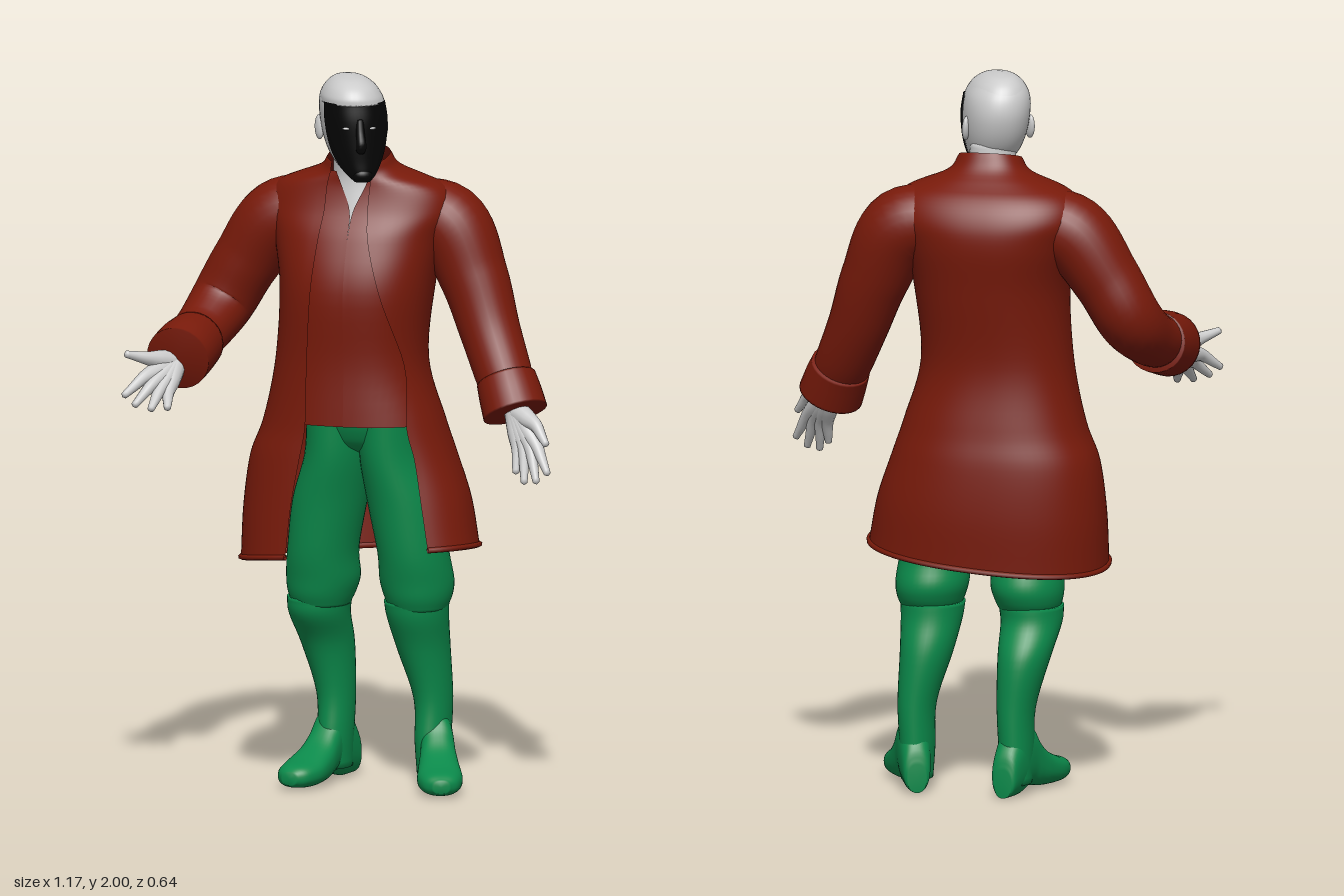
import * as THREE from 'three';
import { mergeVertices } from 'three/addons/utils/BufferGeometryUtils.js';

const mat = (color) => new THREE.MeshStandardMaterial({ color, side: THREE.DoubleSide });
const skin = mat(0xcccccc), red = mat(0x781a0a), green = mat(0x0b8a4b), black = mat(0x050505);

// Smooth interpolation through equal-length rows of numbers
function smoothRows(rows) {
  const f = new THREE.CubicInterpolant(rows.map((_, i) => i), rows.flat(), rows[0].length);
  return (t) => [...f.evaluate(t)];
}

// Stack of rounded rings, rows rising in y: [y, centreX, halfWidth, zFront, zBack, edgeRight, edgeLeft]
// part 'back' leaves the front open between the edges, 'front' keeps only that strip
function loft(rows, { part = 'closed', power = 1, seg = 40, sub = 5 } = {}) {
  const at = smoothRows(rows), n = (rows.length - 1) * sub, pos = [], idx = [];
  const closed = part === 'closed', cols = closed ? seg : seg + 1;
  const pw = (v, p) => Math.sign(v) * Math.abs(v) ** p;
  for (let i = 0; i <= n; i++) {
    const [y, cx, rx, zf, zb, xR, xL] = at(i / sub);
    const angle = (x) => Math.asin(pw(THREE.MathUtils.clamp((x - cx) / rx, -1, 1), 1 / power));
    let t0 = 0, t1 = Math.PI * 2;
    if (part === 'back') { t0 = angle(xL); t1 += angle(xR); }
    if (part === 'front') { t0 = angle(xR); t1 = angle(xL); }
    for (let j = 0; j < cols; j++) {
      const t = t0 + (t1 - t0) * j / seg;
      pos.push(cx + rx * pw(Math.sin(t), power), y, (zf + zb) / 2 + (zf - zb) / 2 * pw(Math.cos(t), power));
    }
  }
  for (let i = 0; i < n; i++) for (let j = 0; j < seg; j++) {
    const k = (j + 1) % cols, a = i * cols + j, b = i * cols + k;
    idx.push(a, b, b + cols, a, b + cols, a + cols);
  }
  if (closed) { // end caps
    for (const [r, row] of [[0, rows[0]], [n, rows.at(-1)]]) {
      const c = pos.length / 3;
      pos.push(row[1], row[0], (row[3] + row[4]) / 2);
      for (let j = 0; j < seg; j++) {
        const a = r * cols + j, b = r * cols + (j + 1) % cols;
        idx.push(c, r ? a : b, r ? b : a);
      }
    }
  }
  const g = new THREE.BufferGeometry();
  g.setAttribute('position', new THREE.Float32BufferAttribute(pos, 3));
  g.setIndex(idx);
  g.computeVertexNormals();
  return g;
}

// Tube of changing radius with closed ends, points are [x, y, z, radius]
function limb(points, seg = 20) {
  const curve = new THREE.CatmullRomCurve3(points.map((p) => new THREE.Vector3(...p)));
  const radius = smoothRows(points.map((p) => [p[3]]));
  const n = points.length * 6;
  const g = new THREE.TubeGeometry(curve, n, 1, seg);
  const pos = g.attributes.position, v = new THREE.Vector3();
  for (let i = 0; i <= n; i++) {
    const c = curve.getPointAt(i / n);
    const r = i === 0 || i === n ? 0 : radius(curve.getUtoTmapping(i / n) * (points.length - 1))[0];
    for (let j = 0; j <= seg; j++) {
      const k = i * (seg + 1) + j;
      v.fromBufferAttribute(pos, k).sub(c).multiplyScalar(r).add(c);
      pos.setXYZ(k, v.x, v.y, v.z);
    }
  }
  g.deleteAttribute('uv');
  g.deleteAttribute('normal');
  const m = mergeVertices(g, 1e-5);
  m.computeVertexNormals();
  return m;
}

function add(parent, name, geometry, material) {
  const m = new THREE.Mesh(geometry, material);
  m.name = name;
  parent.add(m);
  return m;
}

const coatRows = [
  [0.66, -0.01, 0.335, 0.14, -0.305, -0.165, 0.235],
  [0.8, -0.022, 0.32, 0.118, -0.312, -0.155, 0.21],
  [0.93, -0.034, 0.29, 0.1, -0.305, -0.135, 0.185],
  [1.03, -0.03, 0.254, 0.09, -0.287, -0.12, 0.16],
  [1.2, -0.036, 0.212, 0.083, -0.268, -0.118, 0.145],
  [1.4, -0.024, 0.214, 0.09, -0.295, -0.106, 0.09],
  [1.54, -0.025, 0.24, 0.05, -0.317, -0.095, 0.05],
  [1.62, -0.022, 0.268, 0.008, -0.307, -0.088, 0.037],
  [1.685, -0.02, 0.235, -0.012, -0.265, -0.086, 0.037],
  [1.73, -0.017, 0.118, -0.013, -0.195, -0.079, 0.043],
  [1.77, -0.015, 0.086, -0.01, -0.165, -0.075, 0.05],
];

function buildCoat(root) {
  const coat = new THREE.Group();
  coat.name = 'coat';
  root.add(coat);
  const g = loft(coatRows, { part: 'back', power: 0.88, seg: 64, sub: 6 });
  const pos = g.attributes.position;
  // slanted hem, and a collar that is higher at the back
  for (let i = 0; i < pos.count; i++) {
    const x = pos.getX(i), y = pos.getY(i), z = pos.getZ(i);
    const hem = THREE.MathUtils.clamp((1.03 - y) / 0.37, 0, 1);
    const collar = THREE.MathUtils.clamp((y - 1.7) / 0.07, 0, 1);
    pos.setY(i, y + hem * (0.09 * x + 0.09 * (z + 0.08)) - collar * 0.25 * (z + 0.08));
  }
  g.computeVertexNormals();
  add(coat, 'coatBody', g, red);
  const hem = [];
  for (let j = 0; j <= 64; j += 2) hem.push(new THREE.Vector3().fromBufferAttribute(pos, j));
  add(coat, 'hemRim', new THREE.TubeGeometry(new THREE.CatmullRomCurve3(hem), 96, 0.008, 6), red);
  // waistcoat halves just behind the coat edges, parting in a V at the neck
  for (const side of [-1, 1]) {
    const half = coatRows.slice(3, 10).map(([y, cx, rx, zf, zb, xR, xL]) => {
      const inner = -0.012 + side * Math.max(0, (y - 1.61) * 0.42);
      return [y, cx, rx - 0.008, zf - 0.01, zb, side < 0 ? xR - 0.02 : inner, side < 0 ? inner : xL + 0.02];
    });
    add(coat, side < 0 ? 'rightWaistcoat' : 'leftWaistcoat', loft(half, { part: 'front', power: 0.88, seg: 10 }), red);
  }
  // sleeves and turned-back cuffs
  add(coat, 'rightSleeve', limb([[-0.12, 1.6, -0.15, 0.095], [-0.255, 1.575, -0.142, 0.107], [-0.355, 1.45, -0.14, 0.095],
    [-0.42, 1.335, -0.125, 0.09], [-0.448, 1.27, -0.03, 0.08], [-0.46, 1.24, 0.06, 0.075]], 28), red);
  add(coat, 'rightCuff', limb([[-0.455, 1.245, 0.02, 0.084], [-0.46, 1.23, 0.1, 0.09], [-0.465, 1.212, 0.17, 0.09]], 28), red);
  add(coat, 'leftSleeve', limb([[0.09, 1.6, -0.17, 0.095], [0.215, 1.575, -0.175, 0.109], [0.295, 1.43, -0.16, 0.096],
    [0.35, 1.29, -0.13, 0.085], [0.4, 1.18, -0.09, 0.08], [0.43, 1.12, -0.06, 0.075]], 28), red);
  add(coat, 'leftCuff', limb([[0.41, 1.165, -0.085, 0.083], [0.43, 1.12, -0.065, 0.088], [0.452, 1.067, -0.045, 0.091]], 28), red);
}

// Fingers run from the wrist, so their thick roots form the palm
function buildHand(root, name, wrist, knuckles, tips) {
  const hand = new THREE.Group();
  hand.name = name;
  root.add(hand);
  const w = new THREE.Vector3(...wrist);
  tips.forEach((tip, i) => {
    const k = new THREE.Vector3(...knuckles[i]), t = new THREE.Vector3(...tip);
    const palm = w.clone().lerp(k, 0.6), mid = k.clone().lerp(t, 0.55);
    add(hand, i === 4 ? 'thumb' : 'finger' + (i + 1), limb([[...w, 0.034], [...palm, 0.027],
      [...k, 0.0185], [...mid, 0.013], [...t, 0.009]], 12), skin);
  });
}

function buildLeg(root, side) {
  const left = side > 0, leg = new THREE.Group();
  leg.name = left ? 'leftLeg' : 'rightLeg';
  root.add(leg);
  add(leg, 'trouserLeg', loft([
    [0.5, 0.14, 0.08, -0.03, -0.21], [0.535, 0.139, 0.094, -0.015, -0.235], [0.58, 0.135, 0.102, -0.005, -0.245],
    [0.66, 0.13, 0.098, 0.012, -0.225], [0.8, 0.108, 0.102, 0.03, -0.23], [0.93, 0.08, 0.092, 0.05, -0.24],
    [1.05, 0.075, 0.085, 0.06, -0.22],
  ].map(([y, cx, ...r]) => [y, side * cx + 0.006, ...r])), green);
  // boot shaft: the ankle sits further out on the left
  const back = left ? 0 : -0.02, ankle = left ? 0.172 : 0.115;
  add(leg, 'bootShaft', loft([
    [0.03, ankle, 0.043, -0.11, -0.25], [0.12, ankle, 0.048, -0.1, -0.252], [0.24, ankle, 0.053, -0.105, -0.255],
    [0.38, left ? 0.15 : 0.133, 0.073, -0.07, -0.252], [0.47, 0.142, 0.085, -0.035, -0.23], [0.52, 0.14, 0.09, -0.025, -0.225],
  ].map(([y, cx, rx, zf, zb]) => [y, side * cx, rx, zf + back * (y < 0.4), zb + back * (y < 0.4)])), green);
  // foot: rings along its length, [along, x, halfWidth, -bottom, -top]
  const foot = add(leg, 'bootFoot', loft([
    [-0.085, 0, 0.026, 0, -0.08], [-0.07, 0, 0.038, 0, -0.13], [-0.01, 0, 0.045, 0, -0.2], [0.05, 0, 0.046, -0.014, -0.195],
    [0.085, 0, 0.05, -0.01, -0.15], [0.13, 0, 0.057, -0.003, -0.11], [0.2, 0, 0.063, 0, -0.08],
    [0.255, 0, 0.05, -0.004, -0.066], [0.283, 0, 0.022, -0.014, -0.05],
  ], { power: 0.85 }).rotateX(Math.PI / 2), green);
  foot.position.set(side * ankle + (left ? 0.008 : 0), 0, left ? -0.185 : -0.21);
  foot.rotation.y = left ? 0.34 : -0.2;
}

function buildHead(root) {
  add(root, 'neck', loft([[1.52, -0.02, 0.13, 0.01, -0.2], [1.62, -0.018, 0.1, -0.01, -0.18],
    [1.7, -0.018, 0.074, -0.025, -0.16], [1.75, -0.02, 0.066, -0.022, -0.155], [1.81, -0.022, 0.064, -0.015, -0.15]]), skin);
  const head = new THREE.Group();
  head.name = 'head';
  head.position.set(-0.023, 0, -0.055);
  head.rotation.y = 0.43;
  root.add(head);
  const rows = [
    [1.715, 0.012, 0.022, 0.112, 0.05], [1.735, 0.01, 0.042, 0.121, 0.0], [1.775, 0.006, 0.068, 0.122, -0.07],
    [1.825, 0.003, 0.084, 0.124, -0.108], [1.885, 0, 0.091, 0.125, -0.127], [1.935, -0.004, 0.088, 0.119, -0.122],
    [1.97, -0.008, 0.07, 0.098, -0.1], [1.99, -0.01, 0.044, 0.065, -0.07], [1.998, -0.01, 0.01, 0.015, -0.025],
  ];
  add(head, 'skull', loft(rows, { power: 0.92 }), skin);
  // hair stands out over the forehead only
  add(head, 'hair', loft([[1.93, -0.003, 0.088, 0.135, -0.12], [1.95, -0.006, 0.083, 0.132, -0.115],
    [1.975, -0.008, 0.067, 0.112, -0.098], [1.993, -0.01, 0.042, 0.075, -0.07], [2.0, -0.01, 0.01, 0.02, -0.025]],
  { power: 0.92 }), skin);
  // mask follows the front of the skull
  add(head, 'mask', loft(rows.slice(0, 6).map(([y, cx, rx, zf, zb]) =>
    [y, cx, rx + 0.005, zf + 0.011, zb, cx - rx * 0.97, cx + rx * 0.97]), { part: 'front', seg: 24, power: 0.92 }), black);
  add(head, 'nose', limb([[0.002, 1.895, 0.127, 0.01], [0.002, 1.855, 0.14, 0.012], [0.003, 1.822, 0.154, 0.014],
    [0.003, 1.806, 0.138, 0.013]], 14), black);
  const ball = new THREE.SphereGeometry(1, 20, 14);
  const blob = (name, material, at, size) => {
    const m = add(head, name, ball, material);
    m.position.set(...at);
    m.scale.set(...size);
    return m;
  };
  blob('chin', black, [0.011, 1.735, 0.118], [0.028, 0.02, 0.02]);
  for (const s of [-1, 1]) {
    blob('ear', skin, [s * 0.09, 1.85, -0.025], [0.011, 0.035, 0.02]).rotation.set(-0.2, s * -0.35, 0);
    blob('eyeSlit', skin, [s * 0.034, 1.868, 0.127], [0.013, 0.004, 0.005]);
  }
}

export function createModel() {
  const root = new THREE.Group();
  root.name = 'manInCoat';
  buildCoat(root);
  add(root, 'trouserSeat', loft([[0.94, 0.006, 0.08, -0.03, -0.19], [0.965, 0.006, 0.14, 0.02, -0.23],
    [1.0, 0.007, 0.16, 0.045, -0.245], [1.05, 0.006, 0.165, 0.06, -0.25], [1.12, 0, 0.15, 0.055, -0.23]]), green);
  for (const side of [-1, 1]) buildLeg(root, side);
  buildHand(root, 'rightHand', [-0.478, 1.2, 0.14],
    [[-0.534, 1.172, 0.25], [-0.513, 1.152, 0.25], [-0.492, 1.138, 0.243], [-0.472, 1.13, 0.23], [-0.535, 1.222, 0.225]],
    [[-0.578, 1.125, 0.316], [-0.545, 1.1, 0.322], [-0.5, 1.088, 0.31], [-0.457, 1.09, 0.285], [-0.585, 1.24, 0.275]]);
  buildHand(root, 'leftHand', [0.455, 1.08, -0.035],
    [[0.534, 0.995, 0.028], [0.515, 0.986, 0.025], [0.495, 0.981, 0.02], [0.475, 0.982, 0.014], [0.53, 1.05, 0.02]],
    [[0.58, 0.92, 0.07], [0.547, 0.895, 0.072], [0.508, 0.89, 0.062], [0.478, 0.915, 0.045], [0.572, 1.0, 0.055]]);
  buildHead(root);
  return root;
}
